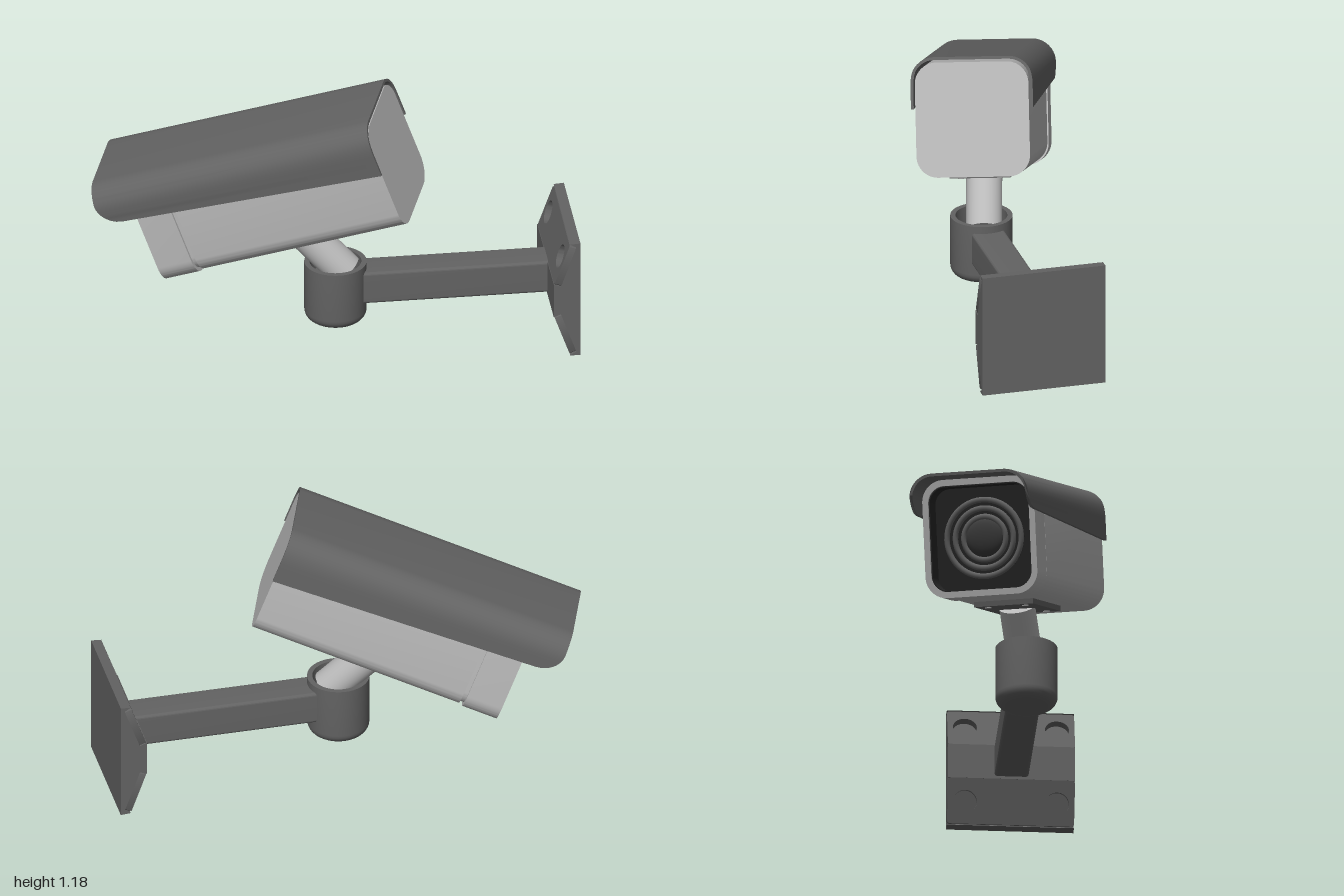
import * as THREE from 'three';
import { toCreasedNormals } from 'three/addons/utils/BufferGeometryUtils.js';

const V = (x, y, z) => new THREE.Vector3(x, y, z);

function material(name, color) {
  const m = new THREE.MeshStandardMaterial({ color });
  m.name = name;
  return m;
}

function add(parent, name, geometry, mat, x = 0, y = 0, z = 0) {
  const mesh = new THREE.Mesh(geometry, mat);
  mesh.name = name;
  mesh.position.set(x, y, z);
  parent.add(mesh);
  return mesh;
}

// Rounded rectangle given by half width, half height and corner radius
function roundRect(w, h, r, Type = THREE.Shape) {
  const s = new Type();
  s.absarc(w - r, h - r, r, 0, Math.PI / 2);
  s.absarc(r - w, h - r, r, Math.PI / 2, Math.PI);
  s.absarc(r - w, r - h, r, Math.PI, Math.PI * 1.5);
  s.absarc(w - r, r - h, r, Math.PI * 1.5, Math.PI * 2);
  s.closePath();
  return s;
}

// Cross-section swept along x, from x0 to x1
function prism(shape, x0, x1) {
  const g = new THREE.ExtrudeGeometry(shape, { depth: x1 - x0, bevelEnabled: false, curveSegments: 10 });
  g.rotateY(Math.PI / 2).translate(x0, 0, 0);
  return toCreasedNormals(g, 0.6);
}

function rod(a, b, r) {
  const d = b.clone().sub(a);
  const g = new THREE.CylinderGeometry(r, r, d.length(), 40);
  g.applyQuaternion(new THREE.Quaternion().setFromUnitVectors(V(0, 1, 0), d.clone().normalize()));
  return g.translate((a.x + b.x) / 2, (a.y + b.y) / 2, (a.z + b.z) / 2);
}

// Arched outline of the sunshade, from one lower edge to the other
function arch(w, top, r) {
  const half = [0.1, 0.105, 0.115, 0.13, 0.145].map(y => [w, y]);
  for (let i = 0; i <= 10; i++) {
    const a = (i / 10) * Math.PI / 2;
    half.push([w - r + r * Math.cos(a), top - r + r * Math.sin(a)]);
  }
  const other = half.map(([x, y]) => [-x, y]).reverse();
  return [...half, ...other].map(p => new THREE.Vector2(...p));
}

function sunshade() {
  const shape = new THREE.Shape([...arch(0.255, 0.263, 0.1), ...arch(0.243, 0.251, 0.088).reverse()]);
  const g = new THREE.ExtrudeGeometry(shape, { depth: 1, bevelEnabled: false });
  g.rotateY(Math.PI / 2).translate(-1, 0, 0);
  // Sides get deeper to the rear; the lower front corners are rounded off
  const p = g.attributes.position;
  for (let i = 0; i < p.count; i++) {
    const y = p.getY(i);
    const k = Math.min(1, Math.max(0, (0.2 - y) / 0.1));
    if (p.getX(i) < -0.5) p.setX(i, -1.245 + 0.1 * (1 - Math.sqrt(1 - k * k)));
    else {
      p.setX(i, 0.004);
      p.setY(i, y - k * 0.053);
    }
  }
  return toCreasedNormals(g, 0.6);
}

export function createModel() {
  const light = material('light grey casing', 0xb9b9b9);
  const dark = material('dark grey metal', 0x636363);
  const black = material('black interior', 0x262626);
  const glass = material('lens glass', 0x3c3c3c);
  const model = new THREE.Group();
  model.name = 'securityCamera';

  // Wall plate with sloped, drilled upper and lower faces
  const wall = new THREE.Group();
  wall.name = 'wallPlate';
  wall.position.set(0, 0.265, 0.1);
  model.add(wall);
  const half = [[1, 0.265], [0.957, 0.262], [0.983, 0.247], [0.918, 0.065], [0.888, 0.077]];
  const profile = [...half, ...half.map(([x, y]) => [x, -y]).reverse()].map(p => new THREE.Vector2(...p));
  add(wall, 'plateCore', new THREE.ExtrudeGeometry(new THREE.Shape(profile),
    { depth: 0.53, bevelEnabled: false }), dark, 0, 0, -0.265);
  for (const turn of [0, Math.PI]) {
    const side = new THREE.Group();
    side.name = 'slopedSide';
    side.rotation.x = turn;
    wall.add(side);
    const face = roundRect(0.265, 0.096, 0.012);
    for (const s of [-1, 1]) face.holes.push(new THREE.Path().absarc(s * 0.192, 0.005, 0.05, 0, Math.PI * 2, true));
    const slab = add(side, 'drilledFace', toCreasedNormals(new THREE.ExtrudeGeometry(face,
      { depth: 0.03, bevelEnabled: false, curveSegments: 20 }), 0.6), dark, 0.951, 0.156, 0);
    slab.rotation.set(0, -Math.PI / 2, -0.345, 'ZYX');
  }

  // Arm, joint cup and stalk
  add(model, 'arm', prism(roundRect(0.071, 0.072, 0.012), 0.11, 0.93), dark, 0, 0.272, 0.1);
  const cup = [[0, 0.11], [0.085, 0.11]];
  for (let i = 1; i <= 6; i++) {
    const a = (i / 6) * Math.PI / 2;
    cup.push([0.085 + 0.045 * Math.sin(a), 0.155 - 0.045 * Math.cos(a)]);
  }
  cup.push([0.13, 0.375], [0.108, 0.375], [0.108, 0.3], [0, 0.3]);
  add(model, 'jointCup', toCreasedNormals(new THREE.LatheGeometry(
    cup.map(p => new THREE.Vector2(...p)), 48), 0.6), dark, 0.007, 0, 0.1);
  add(model, 'stalk', rod(V(0.05, 0.325, 0.1), V(-0.125, 0.505, 0.052), 0.075), light);

  // Camera head; its local -x is the viewing direction
  const head = new THREE.Group();
  head.name = 'cameraHead';
  head.position.set(0.25, 0.92, 0.205);
  head.rotation.set(0.052, -0.349, 0.349, 'YZX');
  model.add(head);
  add(head, 'casing', prism(roundRect(0.237, 0.24, 0.09), -0.92, 0), light);
  add(head, 'casingGroove', prism(roundRect(0.228, 0.231, 0.082), -0.945, -0.915), light);
  const bezel = roundRect(0.241, 0.247, 0.092);
  bezel.holes.push(roundRect(0.216, 0.221, 0.07, THREE.Path));
  add(head, 'frontBezel', prism(bezel, -1.09, -0.938), light);
  const liner = roundRect(0.217, 0.222, 0.07);
  liner.holes.push(roundRect(0.211, 0.216, 0.065, THREE.Path));
  add(head, 'bezelLiner', prism(liner, -1.08, -0.95), black);
  add(head, 'frontPanel', prism(roundRect(0.213, 0.218, 0.066), -0.99, -0.93), black);
  add(head, 'sunshade', sunshade(), dark);

  // Lens with concentric rings
  add(head, 'lensBarrel', rod(V(-1.01, 0, 0), V(-0.98, 0, 0), 0.165), black);
  for (const [r, x] of [[0.16, -1.02], [0.125, -1.015], [0.09, -1.01]]) {
    add(head, 'lensRing', new THREE.TorusGeometry(r, 0.012, 8, 48).rotateY(Math.PI / 2), dark, x);
  }
  const dome = new THREE.SphereGeometry(0.08, 32, 10, 0, Math.PI * 2, 0, Math.PI / 2);
  add(head, 'lensGlass', dome.scale(1, 0.35, 1).rotateZ(Math.PI / 2), glass, -1.008);

  // Mounting bracket under the casing, with four screws
  add(head, 'bracket', new THREE.BoxGeometry(0.44, 0.024, 0.254), dark, -0.53, -0.25, 0);
  for (const x of [-0.7, -0.36]) for (const z of [-0.08, 0.08]) {
    add(head, 'bracketScrew', new THREE.CylinderGeometry(0.014, 0.014, 0.006, 16), light, x, -0.263, z);
  }
  return model;
}
